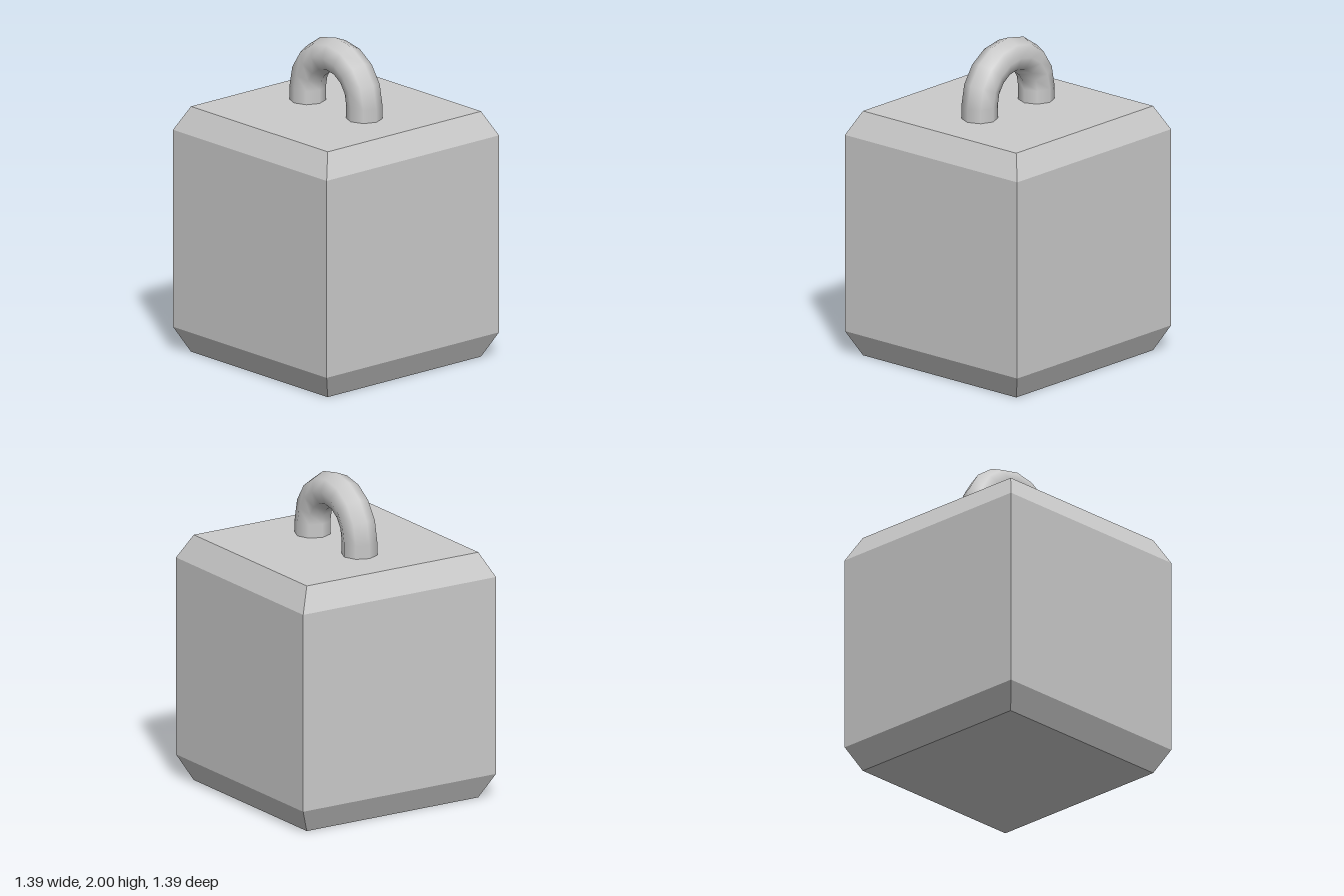
import * as THREE from 'three';

export function createModel() {
  const group = new THREE.Group();
  const smooth = new THREE.MeshStandardMaterial({ color: 0xcccccc });
  const flat = new THREE.MeshStandardMaterial({ color: 0xcccccc, flatShading: true });

  const add = (name, geometry, material, x = 0, y = 0) => {
    const mesh = new THREE.Mesh(geometry, material);
    mesh.name = name;
    mesh.position.set(x, y, 0);
    group.add(mesh);
  };

  // Square block, bevelled at top and bottom: a four-sided lathe of half-widths
  const profile = [[0, 0], [0.62, 0], [0.697, 0.155], [0.697, 1.4], [0.62, 1.55], [0, 1.55]]
    .map(([half, y]) => new THREE.Vector2(half * Math.SQRT2, y));
  const block = new THREE.LatheGeometry(profile, 4, Math.PI / 4).toNonIndexed();
  block.computeVertexNormals();
  add('block', block, flat);

  // Handle: half ring on two short straight legs sunk into the block
  const ring = 0.257, tube = 0.11, springY = 1.633, footY = 1.5;
  add('handleArch', new THREE.TorusGeometry(ring, tube, 8, 8, Math.PI), smooth, 0, springY);
  for (const side of [1, -1]) {
    const leg = new THREE.CylinderGeometry(tube, tube, springY - footY, 8, 1, true);
    add(side > 0 ? 'leftHandleLeg' : 'rightHandleLeg', leg, smooth, side * ring, (springY + footY) / 2);
  }

  return group;
}
